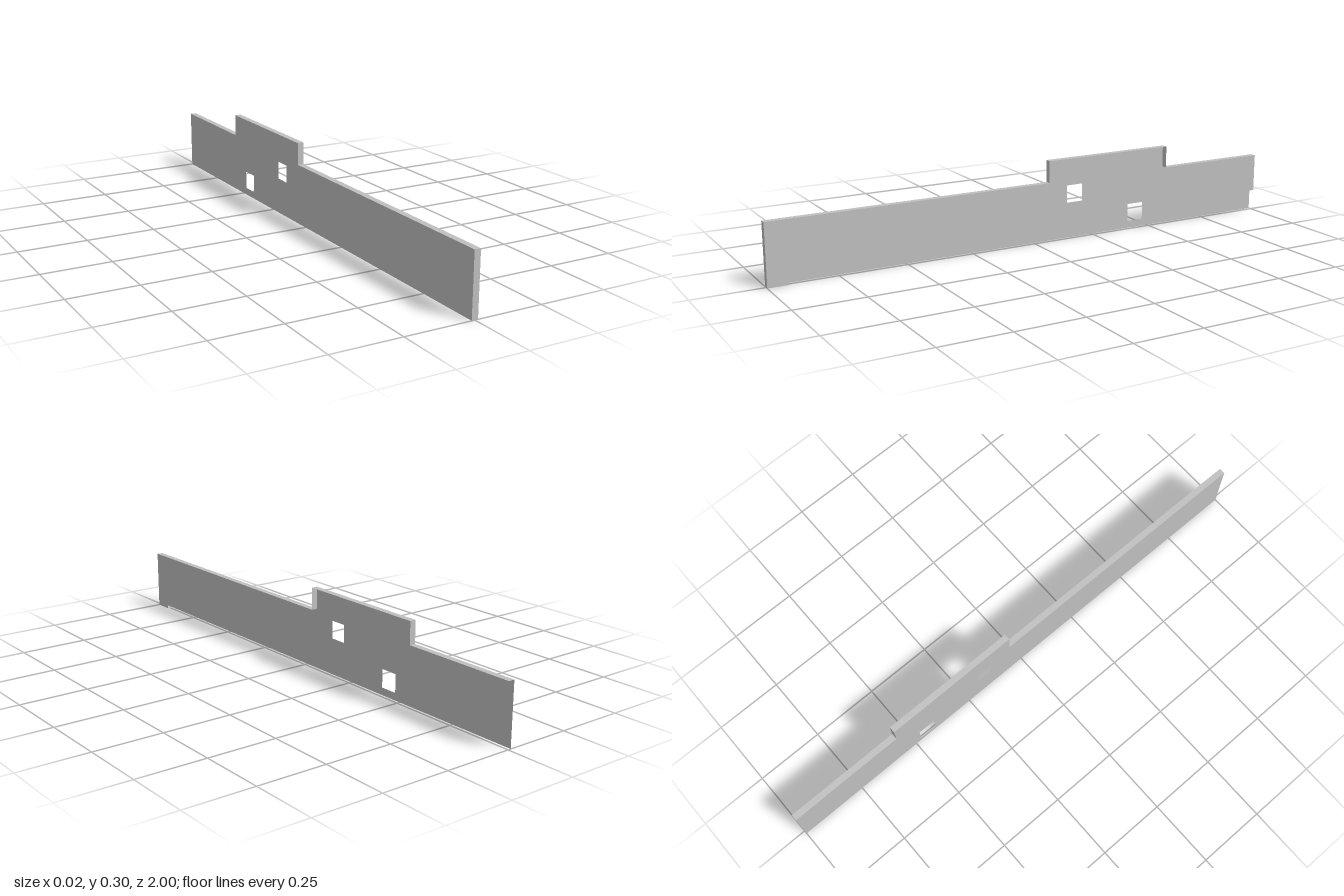
import * as THREE from 'three';

const HALF = 0.0115;                 // half thickness of the hollow strip
const LOW = 0.222, HIGH = 0.303;     // heights of the long edge and the raised block
const CUT = 0.08;                    // lower edge of the outer panels
const Z1 = -0.055, Z2 = -0.567;      // ends of the raised block
const POST = 0.93;                   // inner edge of the corner post

export function createModel() {
  const group = new THREE.Group();
  const grey = new THREE.MeshStandardMaterial({ color: 0xc0c0c0, side: THREE.DoubleSide });
  grey.name = 'light grey';

  const add = (name, geometry, x, y, z) => {
    const mesh = new THREE.Mesh(geometry, grey);
    mesh.name = name;
    mesh.position.set(x, y, z);
    group.add(mesh);
  };
  const points = (list) => list.map(([z, y]) => new THREE.Vector2(z, y));

  // Upright sheet drawn in (z, y), facing outward at the given x
  const sheet = (name, x, outline, holes = []) => {
    const s = Math.sign(x);
    const flip = (list) => points(list.map(([z, y]) => [-s * z, y]));
    const shape = new THREE.Shape(flip(outline));
    holes.forEach((h) => shape.holes.push(new THREE.Path(flip(h))));
    add(name, new THREE.ShapeGeometry(shape).rotateY((s * Math.PI) / 2), x, 0, 0);
  };
  const rect = (za, zb, ya, yb) => [[za, ya], [zb, ya], [zb, yb], [za, yb]];

  // Full back sheet with two square openings
  sheet('backSheet', -HALF,
    [[1, 0], [1, LOW], [Z1, LOW], [Z1, HIGH], [Z2, HIGH], [Z2, LOW], [-1, LOW], [-1, 0]],
    [rect(-0.207, -0.142, 0.133, 0.198), rect(-0.477, -0.411, 0.027, 0.093)]);

  // Partial outer panels, the front one with a corner post
  sheet('frontOuterPanel', HALF, [[1, 0], [1, LOW], [Z1, LOW], [Z1, CUT], [POST, CUT], [POST, 0]]);
  sheet('rearOuterPanel', HALF, rect(Z2, -1, CUT, LOW));

  // Narrow horizontal edges
  const ledge = (name, za, zb, y, up = 1) =>
    add(name, new THREE.PlaneGeometry(2 * HALF, Math.abs(za - zb)).rotateX((-up * Math.PI) / 2), 0, y, (za + zb) / 2);
  ledge('frontTopEdge', 1, Z1, LOW);
  ledge('raisedTopEdge', Z1, Z2, HIGH);
  ledge('rearTopEdge', Z2, -1, LOW);
  ledge('postFoot', 1, POST, 0, -1);

  // Narrow upright ends
  const end = (name, z, ya, yb, facing) =>
    add(name, new THREE.PlaneGeometry(2 * HALF, yb - ya).rotateY(facing > 0 ? 0 : Math.PI), 0, (ya + yb) / 2, z);
  end('frontEnd', 1, 0, LOW, 1);
  end('raisedFrontStep', Z1, LOW, HIGH, 1);
  end('raisedRearStep', Z2, LOW, HIGH, -1);

  return group;
}
